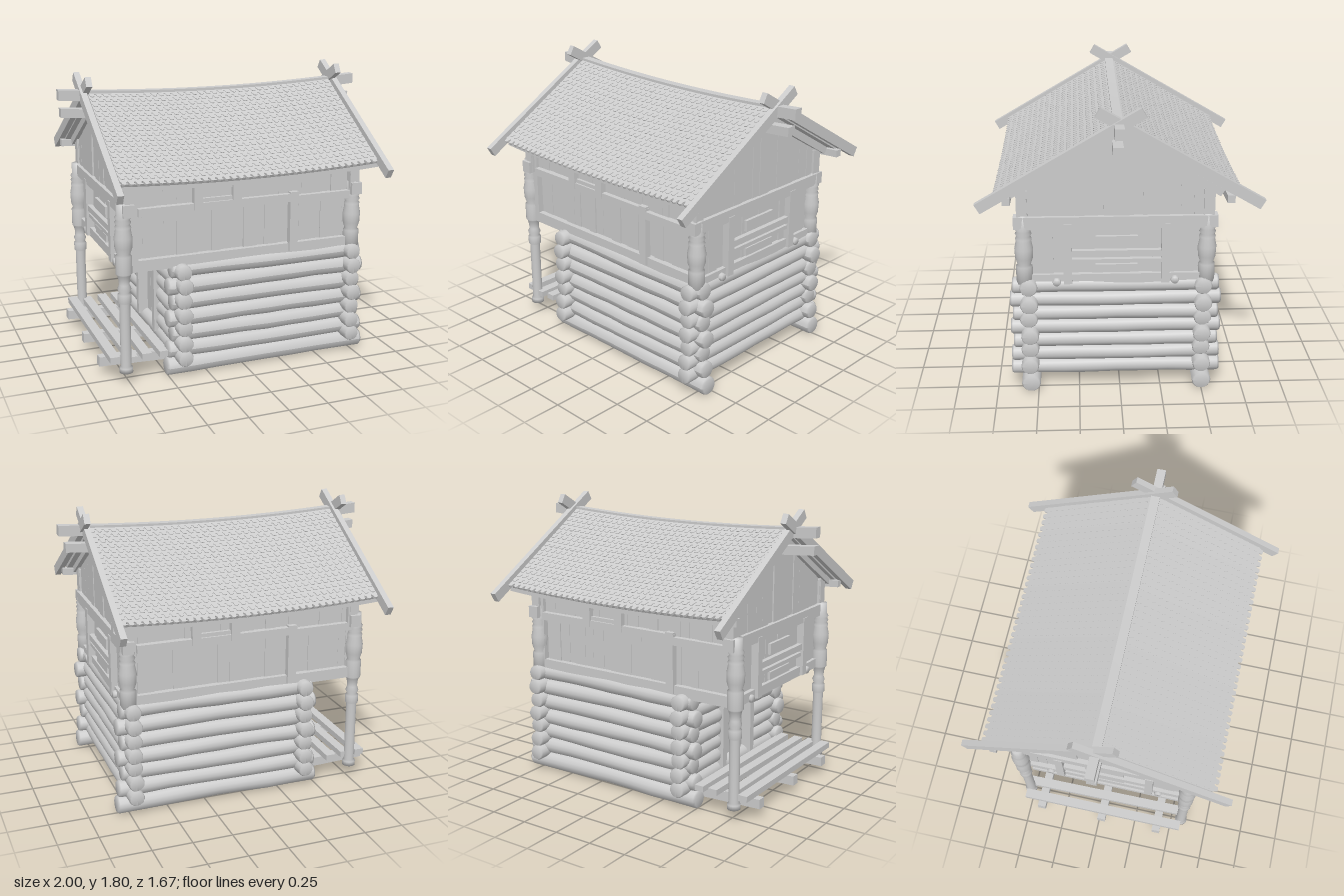
import * as THREE from 'three';
import { mergeGeometries } from 'three/addons/utils/BufferGeometryUtils.js';

const mat = new THREE.MeshStandardMaterial({ color: 0xcccccc, roughness: 0.9, side: THREE.DoubleSide });
let seed = 7;
const rnd = () => ((seed = (seed * 16807) % 2147483647) / 2147483647);
const jit = (a) => (rnd() * 2 - 1) * a;
const PITCH = Math.atan(0.59);
const sag = (x) => 0.026 * (x / 0.82) ** 2;
const vecs = (pts) => pts.map((p) => new THREE.Vector2(...p));

function add(parent, name, geo, x = 0, y = 0, z = 0) {
  const m = new THREE.Mesh(geo, mat);
  m.name = name;
  m.position.set(x, y, z);
  parent.add(m);
  return m;
}
const box = (parent, name, w, h, d, x, y, z) => add(parent, name, new THREE.BoxGeometry(w, h, d), x, y, z);

// Slightly crooked log with chamfered ends, running along x or z
function log(parent, name, r, a, b, axis, y, side) {
  const L = b - a, c = 0.012, pts = [[0, -L / 2], [r * 0.86, -L / 2], [r, -L / 2 + c]];
  for (let i = 1; i < 8; i++) pts.push([r * (1 + jit(0.05)), -L / 2 + (L * i) / 8]);
  pts.push([r, L / 2 - c], [r * 0.86, L / 2], [0, L / 2]);
  const g = new THREE.LatheGeometry(vecs(pts), 14);
  const p = g.attributes.position, ph = rnd() * 6;
  for (let i = 0; i < p.count; i++) {
    const t = p.getY(i) * 5 + ph;
    p.setXYZ(i, p.getX(i) + 0.003 * Math.sin(t), p.getY(i), p.getZ(i) + 0.003 * Math.cos(t * 1.3));
  }
  g.computeVertexNormals();
  const mid = (a + b) / 2;
  const m = axis === 'x' ? add(parent, name, g, mid, y, side) : add(parent, name, g, side, y, mid);
  if (axis === 'x') m.rotation.z = -Math.PI / 2;
  else m.rotation.x = Math.PI / 2;
}

// Row of upright boards in the local xy plane, cut to a height rule
function boards(parent, name, x0, x1, n, y0, top, z) {
  const w = (x1 - x0) / n;
  let a = x0;
  for (let i = 0; i < n; i++) {
    const b = i === n - 1 ? x1 : x0 + w * (i + 1) + jit(w * 0.2);
    const s = new THREE.Shape(vecs([[a, y0], [b, y0], [b, top(b)], [a, top(a)]]));
    add(parent, name, new THREE.ExtrudeGeometry(s, { depth: 0.03, bevelEnabled: false }), 0, 0, z - 0.03 + jit(0.006));
    a = b;
  }
}

// One row of narrow shingles with rounded lower ends
function shingleRow(len) {
  const n = 37, w = 1.64 / n;
  const s = new THREE.Shape(vecs([[-w / 2, len], [-w / 2, 0.03], [-w * 0.34, 0.022], [-w * 0.28, 0.004], [0, 0],
    [w * 0.28, 0.004], [w * 0.34, 0.022], [w / 2, 0.03], [w / 2, len]]));
  const tooth = new THREE.ExtrudeGeometry(s, { depth: 0.014, bevelEnabled: false });
  return mergeGeometries(Array.from({ length: n }, (_, i) => tooth.clone().translate(-0.82 + (i + 0.5) * w, 0, 0)));
}

function bendBySag(g) {
  const p = g.attributes.position;
  for (let i = 0; i < p.count; i++) p.setY(i, p.getY(i) + sag(p.getX(i)));
  g.computeVertexNormals();
  return g;
}

function saggingBeam(parent, name, x0, x1, h, d, y, z) {
  const g = new THREE.BoxGeometry(x1 - x0, h, d, 16, 1, 1);
  g.translate((x0 + x1) / 2, 0, 0);
  add(parent, name, bendBySag(g), 0, y, z);
}

function group(parent, name) {
  const g = new THREE.Group();
  g.name = name;
  parent.add(g);
  return g;
}

export function createModel() {
  seed = 7;
  const root = new THREE.Group();
  root.name = 'logStorehouse';
  const body = group(root, 'body');
  body.position.z = 0.025;

  // Log storey: interlocking courses, with a doorway on the porch side
  const base = group(body, 'logWalls');
  for (let i = 0; i < 7; i++) {
    const yx = 0.058 + i * 0.103, yz = 0.13 + i * 0.091, long = i % 2 ? 0.025 : 0;
    const end = i ? 0.62 + long * 0.6 : 0.638;
    for (const s of [-1, 1])
      log(base, 'longLog', i ? 0.054 : 0.058, i ? -0.475 - long : -0.51, i ? 0.79 + long : 0.825, 'x', yx, s * 0.522);
    log(base, 'crossLog', 0.05, -end, end, 'z', yz, 0.72);
    if (i === 0) log(base, 'crossLog', 0.05, -end, end, 'z', yz, -0.41);
    else {
      log(base, 'doorSideLog', 0.05, -end, -0.17, 'z', yz, -0.41);
      log(base, 'doorSideLog', 0.05, 0.17, end, 'z', yz, -0.41);
    }
  }

  // Door and frame
  const door = group(body, 'door');
  for (const s of [-1, 1]) box(door, 'doorJamb', 0.13, 0.54, 0.045, -0.41, 0.42, s * 0.17);
  box(door, 'doorLintel', 0.13, 0.05, 0.385, -0.41, 0.68, 0);
  for (let i = 0; i < 4; i++) box(door, 'doorPlank', 0.025, 0.48, 0.075, -0.4 + jit(0.003), 0.415, -0.112 + i * 0.075);

  // Porch deck
  const porch = group(root, 'porch');
  for (const z of [-0.41, 0.02, 0.41]) box(porch, 'porchJoist', 0.46, 0.06, 0.055, -0.67, 0.088, z).rotation.z = -0.04;
  for (let i = 0; i < 4; i++)
    box(porch, 'porchSlat', 0.06, 0.038, 1.1, -0.835 + i * 0.103, i ? 0.146 : 0.153, 0.02 + jit(0.015)).rotation.y = jit(0.008);

  // Turned corner posts; the porch pair reaches the ground
  const posts = group(body, 'posts');
  const upper = [[0.05, 0.7], [0.05, 0.81], [0.04, 0.82], [0.053, 0.86], [0.056, 0.92], [0.046, 0.97], [0.05, 0.985],
    [0.042, 1.0], [0.05, 1.015], [0.042, 1.03], [0.05, 1.045], [0.04, 1.06], [0.038, 1.13], [0, 1.13]];
  const lower = [[0, 0.07], [0.042, 0.07], [0.042, 0.1], [0.033, 0.11], [0.033, 0.51], [0.042, 0.52], [0.042, 0.57],
    [0.032, 0.58], [0.042, 0.605], [0.032, 0.63], [0.034, 0.66], [0.042, 0.69]];
  for (const [x, pts] of [[-0.768, [...lower, ...upper]], [0.735, [[0, 0.7], ...upper]]])
    for (const z of [-0.543, 0.543])
      add(posts, 'turnedPost', new THREE.LatheGeometry(vecs(pts), 16), x, 0, z);

  // Upper floor
  const floor = group(body, 'upperFloor');
  for (let i = 0; i < 10; i++) box(floor, 'floorPlank', 1.5, 0.025, 0.104, 0, 0.725, -0.468 + i * 0.104);
  for (const z of [-0.355, 0.355]) log(floor, 'floorPole', 0.025, -0.78, 0.78, 'x', 0.712, z);

  // Long walls, front and back
  for (const turn of [0, Math.PI]) {
    const w = group(body, turn ? 'backWall' : 'frontWall');
    w.rotation.y = turn;
    boards(w, 'lowerBoard', -0.73, 0.735, 20, 0.74, () => 1.06, 0.525);
    boards(w, 'upperBoard', -0.73, 0.74, 20, 1.04, () => 1.3, 0.54);
    box(w, 'sillBeam', 1.46, 0.07, 0.06, 0, 0.735, 0.53);
    box(w, 'railBeam', 1.03, 0.05, 0.05, -0.165, 1.065, 0.55);
    box(w, 'railBeam', 0.42, 0.05, 0.05, 0.55, 1.05, 0.55);
    box(w, 'wallBatten', 0.055, 0.38, 0.04, 0.32, 0.91, 0.555);
    box(w, 'cornerBatten', 0.055, 0.52, 0.05, -0.71, 0.97, 0.535);
    for (const x of [-0.31, -0.06]) box(w, 'windowBatten', 0.055, 0.2, 0.04, x, 1.15, 0.56);
    for (const y of [1.1, 1.18]) box(w, 'windowSlat', 0.22, 0.028, 0.02, -0.185, y, 0.553);
    for (const x of [-0.735, 0.73]) box(w, 'cornerStud', 0.06, 0.23, 0.06, x, 1.17, 0.545);
  }

  // Gable walls at both ends
  for (const s of [1, -1]) {
    const w = group(body, s > 0 ? 'leftGable' : 'rightGable');
    w.rotation.y = (s * Math.PI) / 2;
    w.position.x = s > 0 ? -0.012 : 0.005;
    boards(w, 'lowerBoard', -0.53, 0.53, 14, 0.7, () => 1.08, 0.745);
    boards(w, 'gableBoard', -0.55, 0.55, 14, 1.1, (u) => 1.645 - 0.585 * Math.abs(u), 0.76);
    for (const u of [-0.55, 0.55]) box(w, 'gableStud', 0.06, 0.2, 0.06, u, 1.22, 0.745);
    box(w, 'gableBeam', 1.2, 0.075, 0.07, 0, 1.088, 0.75);
    box(w, 'sillBeam', 1.06, 0.06, 0.06, 0, 0.725, 0.74);
    for (const u of [-0.285, 0.295]) box(w, 'windowPost', 0.05, 0.38, 0.05, u, 0.89, 0.765);
    box(w, 'windowRail', 0.56, 0.04, 0.03, 0.005, 0.89, 0.765);
    box(w, 'windowRail', 0.56, 0.025, 0.03, 0.005, 0.84, 0.76);
    for (const [y, h] of [[0.96, 0.07], [0.79, 0.05]]) box(w, 'windowPanel', 0.25, h, 0.02, 0.005, y, 0.757);
    // Rake boards following the roof underside
    for (const t of [-1, 1]) box(w, 'rakeBoard', 0.72, 0.045, 0.04, t * 0.31, 1.447, 0.77).rotation.z = -t * PITCH;
  }

  // Roof: overlapping scalloped rows on a sagging deck
  const roof = group(root, 'roof');
  roof.position.z = 0.01;
  const rows = 18, slopeLen = 0.83, c = Math.cos(PITCH), n = Math.sin(PITCH);
  for (const s of [1, -1]) {
    const half = group(roof, s > 0 ? 'frontSlope' : 'backSlope');
    half.rotation.y = s > 0 ? 0 : Math.PI;
    const place = (name, geo, dist, lift, tilt) => {
      geo.rotateX(PITCH - Math.PI / 2 - tilt);
      geo.translate(0, 1.655 - dist * n + lift * c, dist * c + lift * n);
      add(half, name, bendBySag(geo));
    };
    place('roofDeck', new THREE.BoxGeometry(1.63, 0.8, 0.02, 16, 1, 1), 0.4, -0.01, 0);
    for (let i = 0; i < rows; i++)
      place('shingleRow', shingleRow(i === rows - 1 ? 0.06 : 0.1), slopeLen - (i * (slopeLen - 0.06)) / (rows - 1), 0.013, 0.1);
    saggingBeam(half, 'purlin', -0.85, 0.85, 0.045, 0.045, 1.225, 0.645);
  }

  // Ridge beams projecting past the gables
  saggingBeam(roof, 'ridgeCap', -1, 1, 0.065, 0.055, 1.648, 0.002);
  saggingBeam(roof, 'ridgeBeam', -0.99, 0.96, 0.055, 0.06, 1.54, 0.008);

  // Crossed bargeboards
  for (const x of [-1, 1])
    for (const s of [-1, 1]) {
      const b = box(roof, 'bargeboard', 0.038, 0.064, 1.1, x * (0.842 + s * 0.008), 1.495, s * 0.345 - 0.01);
      b.rotation.x = s * Math.atan(0.585);
    }
  return root;
}
